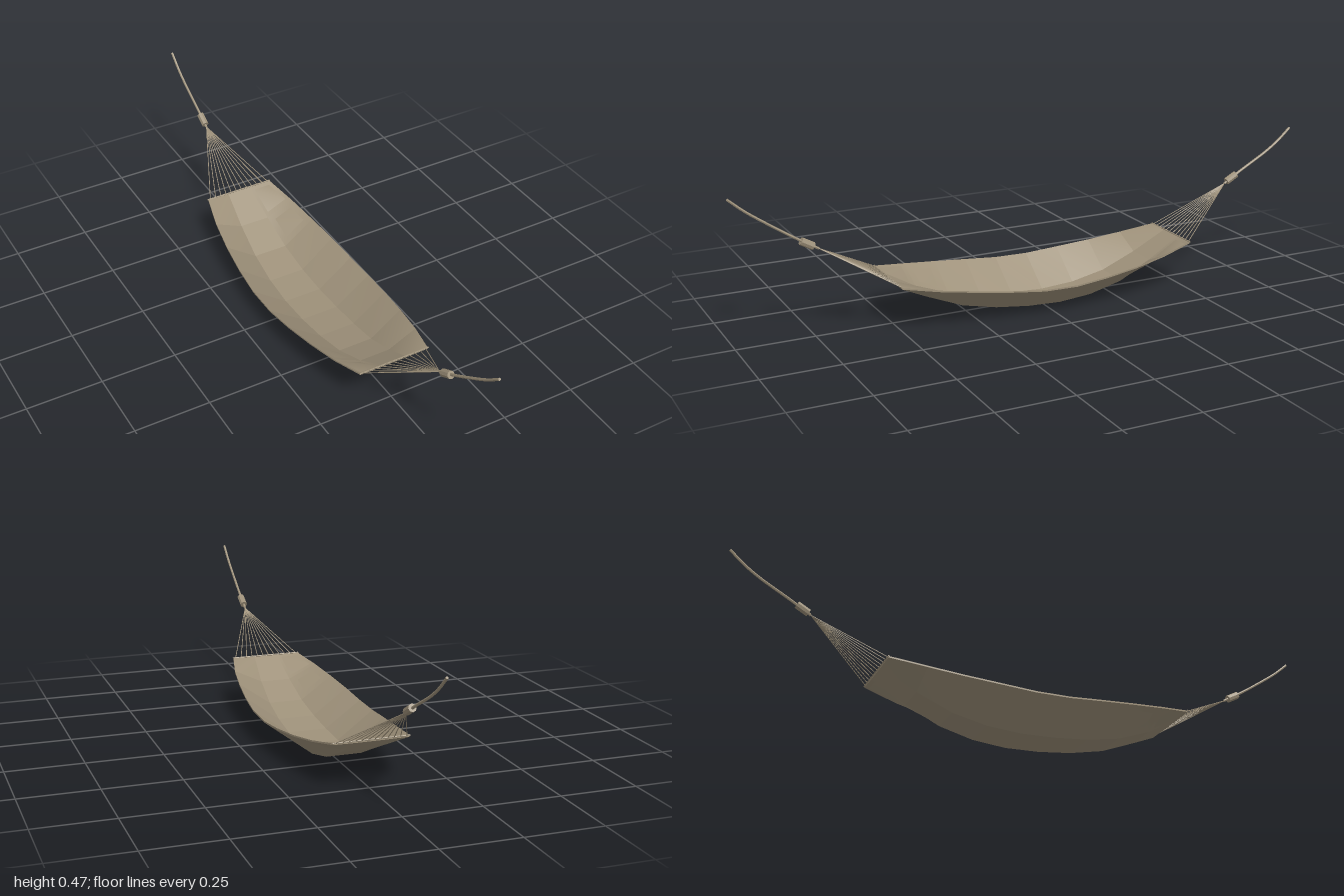
import * as THREE from 'three';

const color = 0x9e917a;
const clothMaterial = new THREE.MeshStandardMaterial({ color, side: THREE.DoubleSide });
const ropeMaterial = new THREE.MeshStandardMaterial({ color, flatShading: true, side: THREE.DoubleSide });

// Stations along the bed: z, half width, rim height, floor height
const stations = [
  [-0.515, 0.12, 0.155, 0.154], [-0.4, 0.147, 0.133, 0.09], [-0.285, 0.165, 0.116, 0.039],
  [-0.17, 0.178, 0.104, 0.013], [-0.057, 0.185, 0.095, 0.005], [0.057, 0.185, 0.097, 0.01],
  [0.17, 0.178, 0.109, 0.023], [0.285, 0.165, 0.123, 0.047], [0.4, 0.147, 0.138, 0.092],
  [0.51, 0.12, 0.155, 0.154],
];

// Thin three-panel cloth: closed cross-sections joined by separately shaded quads
function clothGeometry() {
  const thickness = 0.005;
  const rings = stations.map(([z, w, rim, floor]) => {
    const top = [[-w, rim], [-w * 0.35, floor], [w * 0.35, floor], [w, rim]];
    const bottom = top.map(([x, y]) => [x, y - thickness]);
    return [...bottom, ...top.reverse()].map(([x, y]) => [x, y, z]);
  });
  const positions = [];
  const index = [];
  const quad = (a, b, c, d) => {
    const s = positions.length / 3;
    positions.push(...a, ...b, ...c, ...d);
    index.push(s, s + 1, s + 2, s, s + 2, s + 3);
  };
  for (let i = 0; i < rings.length - 1; i++) {
    for (let j = 0; j < 8; j++) {
      const k = (j + 1) % 8;
      quad(rings[i][j], rings[i][k], rings[i + 1][k], rings[i + 1][j]);
    }
  }
  // End caps, one quad per panel
  const first = rings[0];
  const last = rings[rings.length - 1];
  for (let j = 0; j < 3; j++) {
    quad(first[j], first[7 - j], first[6 - j], first[j + 1]);
    quad(last[j], last[j + 1], last[6 - j], last[7 - j]);
  }
  const g = new THREE.BufferGeometry();
  g.setAttribute('position', new THREE.Float32BufferAttribute(positions, 3));
  g.setIndex(index);
  g.computeVertexNormals();
  return g;
}

function addMesh(parent, geometry, material, name) {
  const mesh = new THREE.Mesh(geometry, material);
  mesh.name = name;
  parent.add(mesh);
  return mesh;
}

// Straight cylinder between two points
function addRod(parent, a, b, radius, sides, name) {
  const dir = b.clone().sub(a);
  const mesh = addMesh(parent, new THREE.CylinderGeometry(radius, radius, dir.length(), sides), ropeMaterial, name);
  mesh.position.copy(a).lerp(b, 0.5);
  mesh.quaternion.setFromUnitVectors(new THREE.Vector3(0, 1, 0), dir.normalize());
}

// Edge bar, fan of strings, knot and hanging rope for one end
function createSuspension(name, side, x, edgeZ, apex, knotStart, knotEnd, rope) {
  const group = new THREE.Group();
  group.name = name;
  const at = ([z, y]) => new THREE.Vector3(x, y, side * z);
  const edge = (ex) => new THREE.Vector3(ex, 0.155, side * edgeZ);

  addRod(group, edge(-0.122), edge(0.122), 0.0025, 6, 'edgeBar');

  const strings = 12;
  for (let i = 0; i < strings; i++) {
    addRod(group, edge(-0.112 + 0.224 * i / (strings - 1)), at(apex), 0.0014, 5, 'string');
  }

  addRod(group, at(knotStart), at(knotEnd), 0.0125, 8, 'knot');

  const curve = new THREE.CatmullRomCurve3([apex, ...rope].map(at));
  addMesh(group, new THREE.TubeGeometry(curve, 14, 0.0043, 6), ropeMaterial, 'hangingRope');

  // Close both ends of the rope, facing outwards
  for (const [t, direction] of [[0, -1], [1, 1]]) {
    const tip = curve.getPoint(t);
    const cap = addMesh(group, new THREE.CircleGeometry(0.0043, 6), ropeMaterial, 'ropeTip');
    cap.position.copy(tip);
    cap.lookAt(tip.clone().addScaledVector(curve.getTangent(t), direction));
  }
  return group;
}

export function createModel() {
  const model = new THREE.Group();
  model.name = 'hammock';
  addMesh(model, clothGeometry(), clothMaterial, 'clothBed');
  model.add(createSuspension('frontSuspension', 1, 0.009, 0.51,
    [0.73, 0.281], [0.747, 0.291], [0.785, 0.312],
    [[0.8, 0.323], [0.9, 0.39], [0.95, 0.426], [0.998, 0.467]]));
  model.add(createSuspension('backSuspension', -1, -0.012, 0.515,
    [0.735, 0.298], [0.742, 0.304], [0.78, 0.325],
    [[0.8, 0.336], [0.9, 0.391], [0.95, 0.425], [0.998, 0.467]]));
  return model;
}
